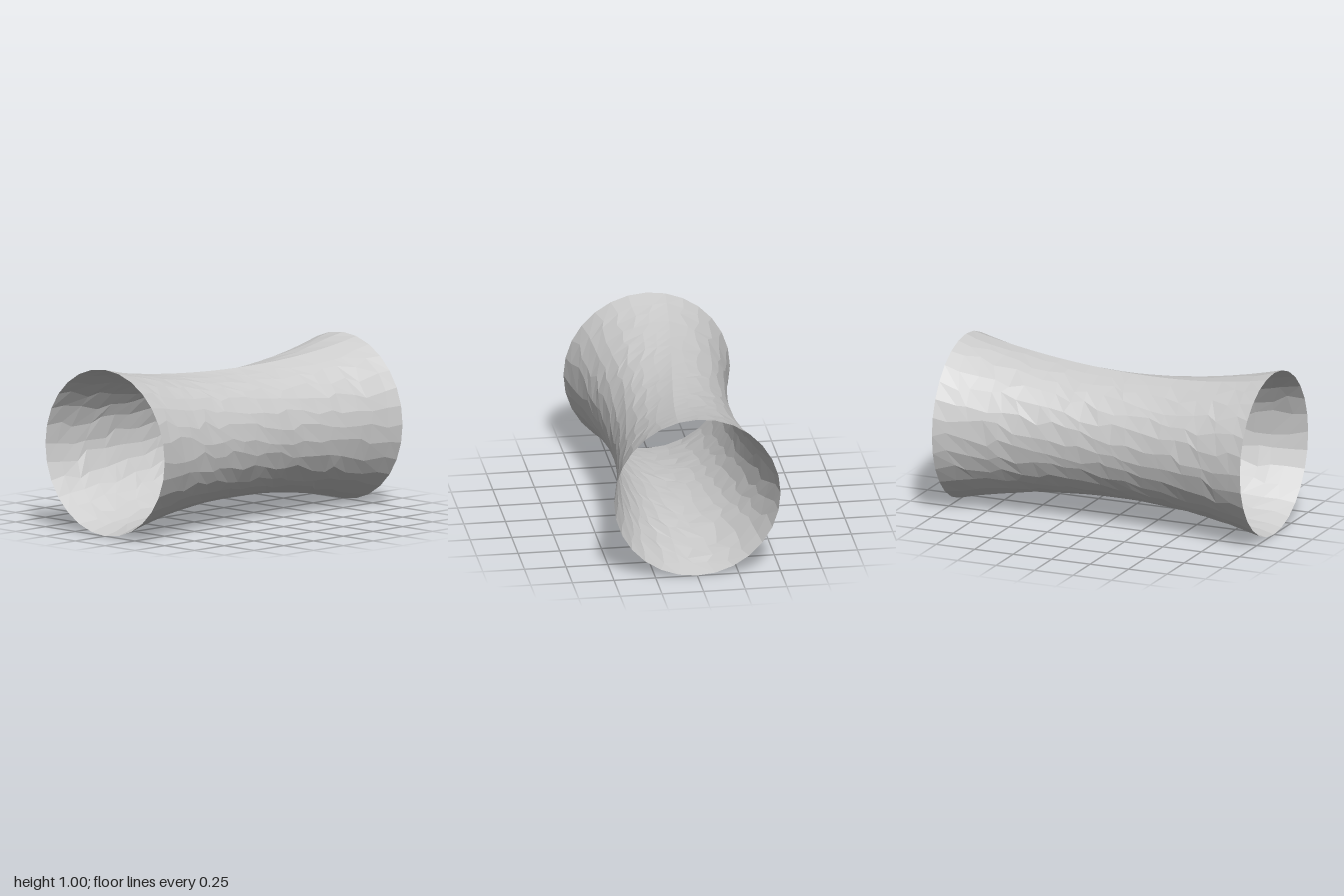
import * as THREE from 'three';

const SIDES = 28, ROWS = 20;

// Small seeded generator for the uneven facets
function seeded(seed) {
  return () => {
    seed = (seed * 16807) % 2147483647;
    return seed / 2147483647 - 0.5;
  };
}

// Radius at position x along the axis, d = angle away from the seam
function radius(x, d) {
  const waist = 0.377 + 0.123 * x * x;
  const ridge = 0.024 * Math.exp(-Math.abs(d) / 0.16) - 0.012 * Math.exp(-((d / 0.5) ** 2));
  return waist + ridge * (1 - x * x);
}

export function createModel() {
  const group = new THREE.Group();
  group.name = 'waistedTube';

  // Open tube, reshaped so its axis lies along x
  const geometry = new THREE.CylinderGeometry(1, 1, 2, SIDES, ROWS, true);
  const pos = geometry.attributes.position;
  const random = seeded(7);
  const step = (Math.PI * 2) / SIDES;

  for (let row = 0; row <= ROWS; row++) {
    for (let col = 0; col <= SIDES; col++) {
      const i = row * (SIDES + 1) + col;
      const rim = row === 0 || row === ROWS;
      const seam = col === 0 || col === SIDES;
      const jitter = rim || seam ? 0 : 0.6;
      const x = 1 - (2 * row) / ROWS + jitter * random() * (2 / ROWS);
      let d = (col + jitter * random()) * step;
      if (d > Math.PI) d -= Math.PI * 2;
      // The seam drifts one side forward over each half of the length
      const angle = d + step * Math.sin((x * Math.PI) / 2);
      const r = radius(x, d);
      pos.setXYZ(i, x, 0.5 + r * Math.cos(angle), r * Math.sin(angle));
    }
  }
  geometry.computeVertexNormals();

  const material = new THREE.MeshStandardMaterial({
    color: 0xcccccc, flatShading: true, side: THREE.DoubleSide,
  });
  const film = new THREE.Mesh(geometry, material);
  film.name = 'tubeSurface';
  group.add(film);
  return group;
}
